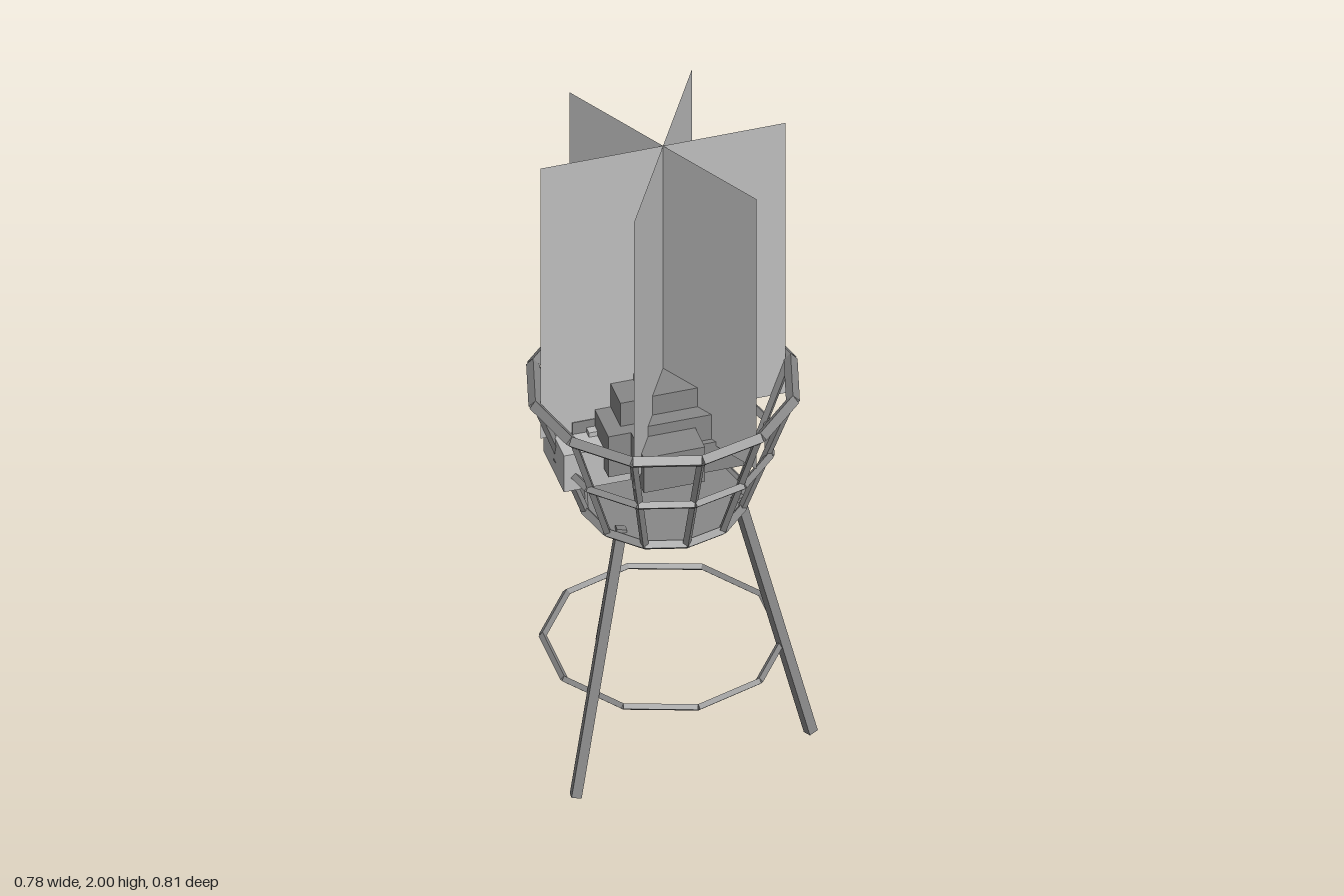
import * as THREE from 'three';

const grey = new THREE.MeshStandardMaterial({ color: 0x888888 });
grey.name = 'iron grey';
const pale = new THREE.MeshStandardMaterial({ color: 0xbebebe, side: THREE.DoubleSide });
pale.name = 'pale grey';

const CX = -0.01, CZ = 0.023; // axis of the basket

const polar = (r, y, a) =>
  new THREE.Vector3(CX + r * Math.cos(a), y, CZ + r * Math.sin(a));

// Four-sided bar between two points, one edge upward
function bar(parent, name, a, b, radius) {
  const geo = new THREE.CylinderGeometry(radius, radius, a.distanceTo(b), 4).toNonIndexed();
  geo.rotateX(Math.PI / 2);
  geo.computeVertexNormals();
  const mesh = new THREE.Mesh(geo, grey);
  mesh.name = name;
  mesh.position.copy(a).add(b).multiplyScalar(0.5);
  mesh.lookAt(b);
  parent.add(mesh);
}

// Polygonal hoop made of straight bars
function hoop(parent, name, r, y, sides, radius, phase = 0) {
  const group = new THREE.Group();
  group.name = name;
  const step = (Math.PI * 2) / sides;
  for (let i = 0; i < sides; i++) {
    bar(group, name + 'Segment', polar(r, y, phase + i * step), polar(r, y, phase + (i + 1) * step), radius);
  }
  parent.add(group);
}

export function createModel() {
  const model = new THREE.Group();
  model.name = 'fireBasket';

  // Splayed legs and their bracing hoop
  const legs = [
    [-0.06, -0.385, -0.03, -0.175],
    [0.365, 0.18, 0.18, 0.1],
    [-0.335, 0.27, -0.165, 0.14],
  ];
  for (const [fx, fz, tx, tz] of legs) {
    bar(model, 'leg', new THREE.Vector3(fx, 0.005, fz), new THREE.Vector3(tx, 0.8, tz), 0.02);
  }
  hoop(model, 'footHoop', 0.33, 0.3, 10, 0.011, Math.PI / 2);

  // Basket hoops, ribs and floor
  hoop(model, 'rimHoop', 0.365, 1.18, 12, 0.019);
  hoop(model, 'middleHoop', 0.3, 0.98, 12, 0.013);
  hoop(model, 'bottomHoop', 0.222, 0.785, 12, 0.015);
  for (let i = 0; i < 12; i++) {
    const a = (i * Math.PI) / 6;
    bar(model, 'rib', polar(0.222, 0.785, a), polar(0.36, 1.18, a), 0.012);
  }
  const floor = new THREE.Mesh(new THREE.CylinderGeometry(0.22, 0.22, 0.015, 12), grey);
  floor.name = 'basketFloor';
  floor.position.set(CX, 0.785, CZ);
  floor.rotation.y = Math.PI / 2;
  model.add(floor);

  // Heap of blocks: x range, y range, z range, colour
  const blocks = [
    [-0.095, 0.135, 1.1, 1.23, -0.095, 0.135, grey],
    [-0.16, 0.07, 1.06, 1.21, -0.11, 0.115, grey],
    [-0.14, 0.035, 1.01, 1.13, 0.1, 0.27, grey],
    [-0.02, 0.18, 0.99, 1.14, -0.125, 0.075, grey],
    [-0.205, 0.01, 0.99, 1.13, -0.065, 0.15, grey],
    [-0.27, -0.065, 0.98, 1.1, -0.18, 0.025, grey],
    [0.07, 0.24, 0.935, 1.055, -0.2, 0.03, grey],
    [-0.12, 0.09, 1.02, 1.165, -0.03, 0.18, grey],
    [0.015, 0.17, 0.98, 1.08, 0.04, 0.195, grey],
    [-0.32, -0.13, 0.935, 1.06, -0.08, 0.11, pale],
    [0.0, 0.17, 1.04, 1.16, -0.04, 0.135, pale],
    [0.01, 0.115, 1.02, 1.12, 0.06, 0.165, pale],
    [-0.23, -0.1, 0.98, 1.075, -0.08, 0.05, pale],
  ];
  for (const [x0, x1, y0, y1, z0, z1, material] of blocks) {
    const block = new THREE.Mesh(new THREE.BoxGeometry(x1 - x0, y1 - y0, z1 - z0), material);
    block.name = material === grey ? 'coalBlock' : 'ashBlock';
    block.position.set((x0 + x1) / 2, (y0 + y1) / 2, (z0 + z1) / 2);
    model.add(block);
  }

  // Three crossed flame sheets
  for (let i = 0; i < 3; i++) {
    const sheet = new THREE.Mesh(new THREE.PlaneGeometry(0.7, 0.935), pale);
    sheet.name = 'flameSheet';
    sheet.position.set(CX, 1.5325, CZ);
    sheet.rotation.y = (i * Math.PI) / 3;
    model.add(sheet);
  }
  return model;
}
